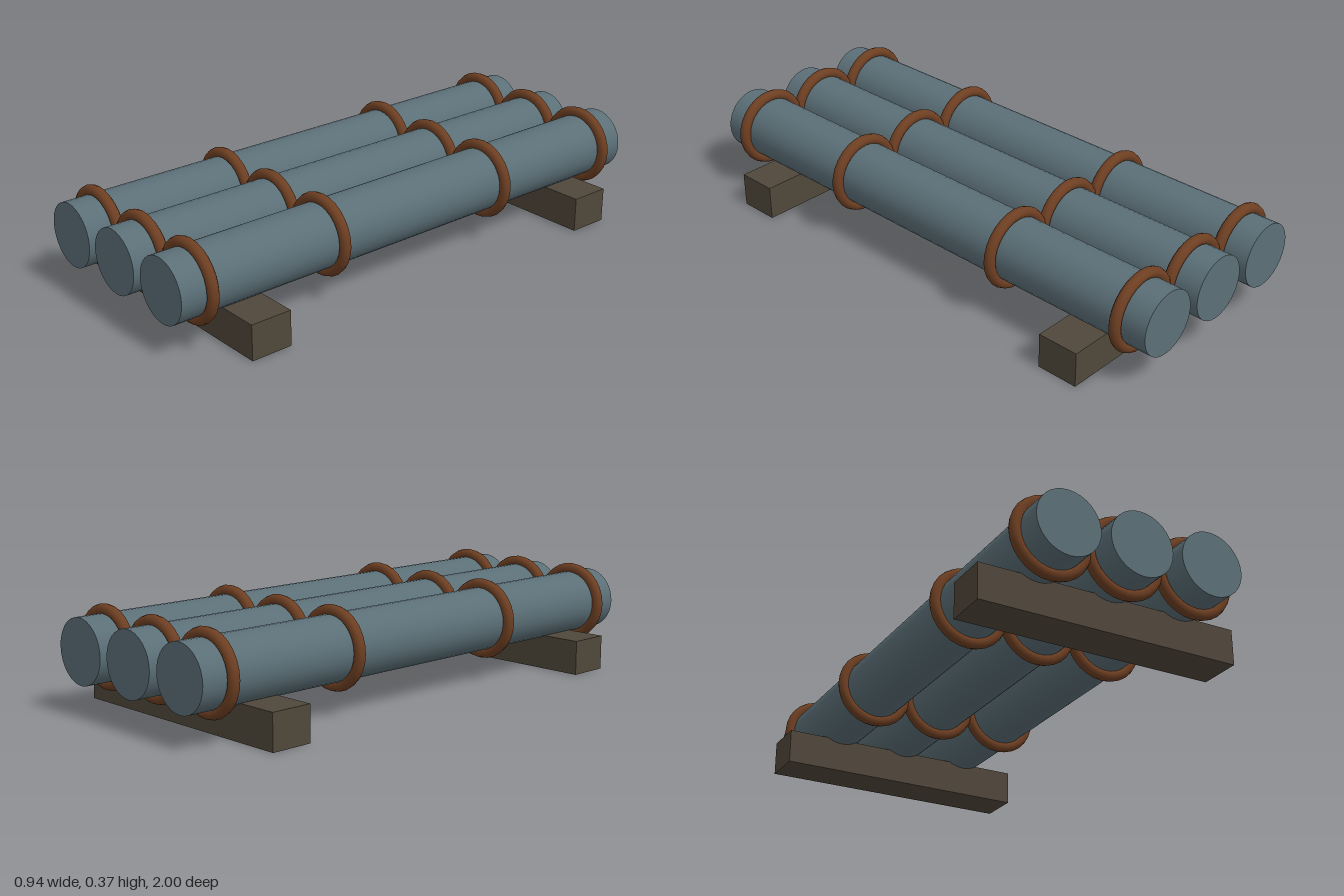
import * as THREE from 'three';

export function createModel() {
  const model = new THREE.Group();
  model.name = 'pipeStack';

  const steel = new THREE.MeshStandardMaterial({ color: 0x5b6f77 });
  steel.name = 'blueGreySteel';
  const rust = new THREE.MeshStandardMaterial({ color: 0x6e3f22 });
  rust.name = 'rustBrown';
  const timber = new THREE.MeshStandardMaterial({ color: 0x50473b });
  timber.name = 'darkTimber';

  const add = (name, geometry, material, x, y, z) => {
    const mesh = new THREE.Mesh(geometry, material);
    mesh.name = name;
    mesh.position.set(x, y, z);
    model.add(mesh);
  };

  // Shared shapes, pipes lying along z
  const pipe = new THREE.CylinderGeometry(0.114, 0.114, 2, 32).rotateX(Math.PI / 2);
  const ring = new THREE.TorusGeometry(0.126, 0.02, 10, 28);
  const beam = new THREE.BoxGeometry(0.944, 0.126, 0.152);
  const pipeY = 0.224;

  // Three pipes, each with four clamp rings
  for (const x of [-0.263, 0, 0.263]) {
    add('pipe', pipe, steel, x, pipeY, 0);
    for (const z of [-0.893, -0.37, 0.37, 0.893]) add('clampRing', ring, rust, x, pipeY, z);
  }

  // Two support beams across the ground
  for (const z of [-0.738, 0.738]) add('supportBeam', beam, timber, 0, 0.063, z);

  return model;
}
